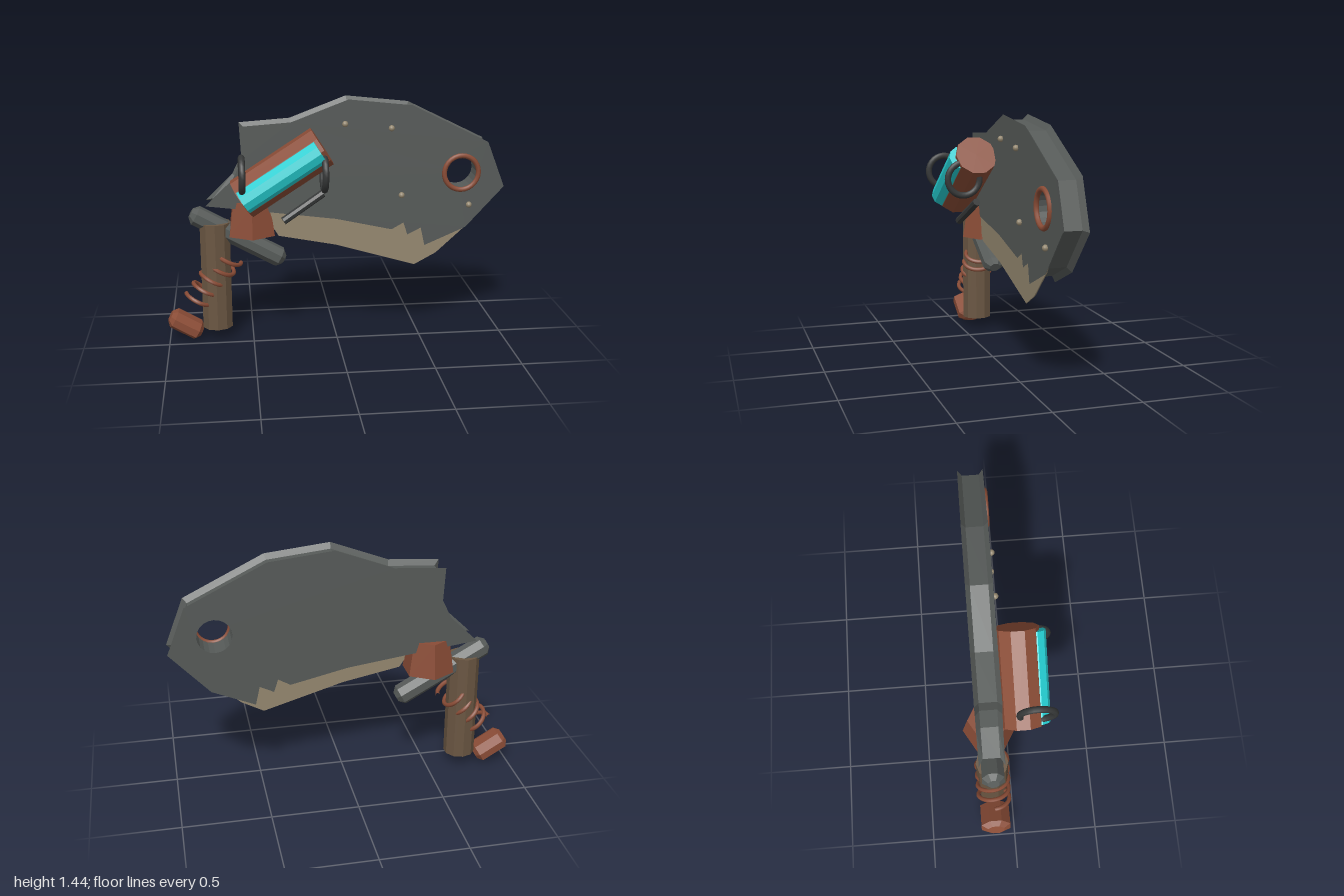
import * as THREE from 'three';

const V = (x, y, z) => new THREE.Vector3(x, y, z);
const MID = -0.112; // depth of the blade and grip centre plane

const mat = (color, flatShading = true, side = THREE.FrontSide) =>
  new THREE.MeshStandardMaterial({ color, flatShading, side });
const steel = mat(0x565a58), darkSteel = mat(0x363838, false), copper = mat(0x8a4c36);
const copperSmooth = mat(0x8a4c36, false), wood = mat(0x6a5642), cyan = mat(0x25cfd2);
const bone = mat(0x94876f, true, THREE.DoubleSide), plate = mat(0x565a58, true, THREE.DoubleSide);

function add(group, name, geometry, material, pos = V(0, 0, 0)) {
  const mesh = new THREE.Mesh(geometry, material);
  mesh.name = name;
  mesh.position.copy(pos);
  group.add(mesh);
  return mesh;
}

// Straight rod from a to b
function rod(group, name, a, b, radius, sides, material) {
  const dir = b.clone().sub(a);
  const mesh = add(group, name, new THREE.CylinderGeometry(radius, radius, dir.length(), sides), material,
    a.clone().add(b).multiplyScalar(0.5));
  mesh.quaternion.setFromUnitVectors(V(0, 1, 0), dir.normalize());
  return mesh;
}

// Faceted bar with chamfered ends, tilted in the front plane
function bar(group, name, pos, length, radius, depth, chamfer, angle, material) {
  const h = length / 2, r = radius - chamfer;
  const profile = [[0, -h], [r, -h], [radius, -h + chamfer], [radius, h - chamfer], [r, h], [0, h]]
    .map(p => new THREE.Vector2(...p));
  const geometry = new THREE.LatheGeometry(profile, 8).rotateY(Math.PI / 8).scale(1, 1, depth / radius);
  add(group, name, geometry, material, pos).rotation.z = angle - Math.PI / 2;
}

// Move a clockwise outline inward by d
function inset(points, d) {
  const n = points.length;
  const normal = (a, b) => new THREE.Vector2(b.y - a.y, a.x - b.x).normalize();
  return points.map((p, i) => {
    const n1 = normal(points[(i + n - 1) % n], p), n2 = normal(p, points[(i + 1) % n]);
    const k = d / Math.max(0.6, 1 + n1.dot(n2));
    return p.clone().add(n1.add(n2).multiplyScalar(k));
  });
}

// Wall joining a stack of closed loops, each { points, z }
function wall(loops) {
  const n = loops[0].points.length, position = [], index = [];
  loops.forEach(l => l.points.forEach(p => position.push(p.x, p.y, l.z)));
  for (let j = 0; j < loops.length - 1; j++) {
    for (let i = 0; i < n; i++) {
      const a = j * n + i, b = j * n + (i + 1) % n;
      index.push(a, b, b + n, a, b + n, a + n);
    }
  }
  const g = new THREE.BufferGeometry();
  g.setAttribute('position', new THREE.Float32BufferAttribute(position, 3));
  g.setIndex(index);
  g.computeVertexNormals();
  return g;
}

function makeBlade() {
  const group = new THREE.Group();
  group.name = 'blade';
  const front = -0.04, back = -0.187;
  const outline = [
    [-0.555, 1.295], [-0.26, 1.315], [0.07, 1.44], [0.44, 1.4], [0.895, 1.175], [1, 0.905],
    [0.775, 0.66], [0.53, 0.555], [0.505, 0.665], [0.425, 0.625], [0.4, 0.7], [0.33, 0.66],
    [0, 0.735], [-0.37, 0.785], [-0.76, 0.835], [-0.6, 0.99], [-0.545, 1.1],
  ].map(p => new THREE.Vector2(...p));

  // Side plates with a round hole
  const shape = new THREE.Shape(outline);
  const hole = new THREE.Path().absarc(0.74, 0.995, 0.098, 0, Math.PI * 2);
  shape.holes.push(hole);
  add(group, 'frontPlate', new THREE.ShapeGeometry(shape, 10), plate, V(0, 0, front));
  add(group, 'backPlate', new THREE.ShapeGeometry(shape, 10), plate, V(0, 0, back));

  // Grooved rim between the plates, and the hole lining
  const inner = inset(outline, 0.03);
  add(group, 'groovedRim', wall([
    { points: outline, z: front }, { points: inner, z: front - 0.025 },
    { points: inner, z: back + 0.025 }, { points: outline, z: back },
  ]), plate);
  const circle = hole.getPoints(10).slice(0, -1);
  add(group, 'holeLining', wall([{ points: circle, z: front }, { points: circle, z: back }]), plate);
  add(group, 'holeRing', new THREE.TorusGeometry(0.102, 0.015, 8, 28), copperSmooth, V(0.74, 0.995, -0.036));

  // Thin cutting edge below the teeth
  const edge = new THREE.Shape([
    [-0.44, 0.8], [-0.34, 0.642], [0, 0.575], [0.47, 0.435], [0.6, 0.505], [0.775, 0.665],
    [0.81, 0.72], [0.5, 0.71], [0.3, 0.73], [0, 0.78], [-0.3, 0.81],
  ].map(p => new THREE.Vector2(...p)));
  add(group, 'cuttingEdge', new THREE.ExtrudeGeometry(edge, { depth: 0.006, bevelEnabled: false }), bone,
    V(0, 0, front - 0.009));

  // Rivets
  for (const [x, y] of [[0.05, 1.3], [0.32, 1.27], [0.385, 0.87], [0.79, 0.8]]) {
    add(group, 'rivet', new THREE.SphereGeometry(0.018, 10, 8), mat(0x94876f, false), V(x, y, -0.032));
  }
  return group;
}

function makeCanister() {
  const group = new THREE.Group();
  group.name = 'canister';
  // Tilted body with a glowing cell set into its front
  const centre = V(-0.323, 1.05, 0.07), axis = V(Math.cos(0.571), Math.sin(0.571), 0);
  const along = (t, z) => centre.clone().addScaledVector(axis, t).setZ(z);
  rod(group, 'canisterBody', along(-0.273, 0.07), along(0.273, 0.07), 0.122, 10, copper);
  rod(group, 'energyCell', along(-0.265, 0.155), along(0.25, 0.155), 0.072, 10, cyan);
  // Hoops at both ends
  for (const x of [-0.55, -0.09]) {
    add(group, 'hoop', new THREE.TorusGeometry(0.096, 0.019, 8, 28).rotateY(Math.PI / 2), darkSteel,
      V(x, 1.06, 0.148));
  }
  // Loose pin under the body
  rod(group, 'pin', V(-0.32, 0.778, 0.115), V(-0.09, 0.922, 0.07), 0.023, 8, mat(0x363838));
  return group;
}

function makeGrip() {
  const group = new THREE.Group();
  group.name = 'grip';
  add(group, 'handle', new THREE.CylinderGeometry(0.092, 0.092, 0.65, 10), wood, V(-0.712, 0.395, MID));
  add(group, 'collar', new THREE.CylinderGeometry(0.121, 0.153, 0.205, 6), copper, V(-0.495, 0.747, MID));
  bar(group, 'crossBar', V(-0.578, 0.627, MID), 0.62, 0.06, 0.068, 0.03, -0.51, steel);
  bar(group, 'pommel', V(-0.903, 0.087, MID), 0.21, 0.057, 0.095, 0.025, -0.54, copper);

  // Spring coiled around a slanted axis
  const start = V(-0.628, 0.51, MID), end = V(-0.83, 0.235, MID);
  const axis = end.clone().sub(start).normalize();
  const across = V(-axis.y, axis.x, 0), turns = 4.5;
  const points = [];
  for (let i = 0; i <= turns * 16; i++) {
    const a = i / 16 * Math.PI * 2;
    points.push(start.clone().lerp(end, i / (turns * 16))
      .addScaledVector(across, Math.cos(a) * 0.08)
      .add(V(0, 0, Math.sin(a) * 0.092)));
  }
  const curve = new THREE.CatmullRomCurve3(points);
  add(group, 'spring', new THREE.TubeGeometry(curve, 150, 0.013, 6), copperSmooth);
  return group;
}

export function createModel() {
  const model = new THREE.Group();
  model.name = 'bladedTool';
  model.add(makeBlade(), makeCanister(), makeGrip());
  return model;
}
